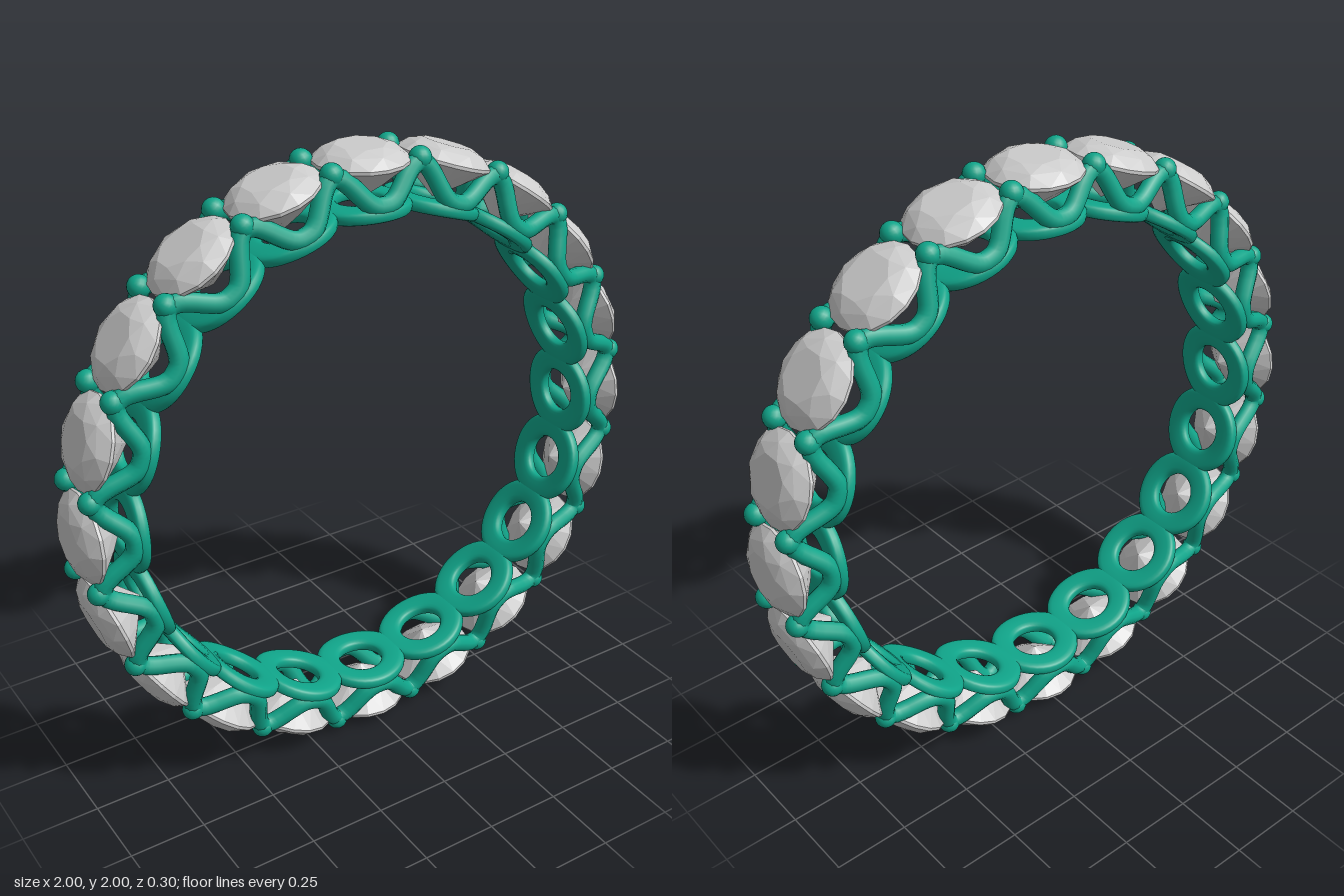
import * as THREE from 'three';
import { mergeVertices } from 'three/addons/utils/BufferGeometryUtils.js';
import { ConvexGeometry } from 'three/addons/geometries/ConvexGeometry.js';

const COUNT = 20;                       // stones around the ring
const STEP = (Math.PI * 2) / COUNT;
const INNER = 0.8;                      // finger hole radius

// Flat rounded washer, bent onto the finger hole; neighbours overlap into a scalloped band
function bandLinkGeometry() {
  const profile = [];
  const soft = v => Math.sign(v) * Math.abs(v) ** 0.65;
  for (let i = 0; i <= 20; i++) {
    const a = (i / 20) * Math.PI * 2;
    profile.push(new THREE.Vector2(0.11 + 0.039 * soft(Math.cos(a)), INNER + 0.022 + 0.022 * soft(Math.sin(a))));
  }
  let geo = new THREE.LatheGeometry(profile, 40);
  geo.deleteAttribute('normal');
  geo.deleteAttribute('uv');
  const p = geo.attributes.position;
  for (let i = 0; i < p.count; i++) {
    const t = p.getX(i) / INNER, r = p.getY(i);
    p.setXYZ(i, Math.sin(t) * r, Math.cos(t) * r, p.getZ(i));
  }
  geo = mergeVertices(geo, 1e-5);
  geo.computeVertexNormals();
  return geo;
}

// Brilliant-cut stone: rings of points [sides, radius, height, turn] wrapped in flat facets
function stoneGeometry() {
  const rings = [
    [8, 0.078, 1.0, 0.5],      // table
    [8, 0.116, 0.985, 0],      // crown
    [16, 0.146, 0.957, 0],     // girdle
    [16, 0.146, 0.947, 0],
    [8, 0.075, 0.888, 0.5],    // pavilion
  ];
  const pts = [new THREE.Vector3(0, 0.835, 0)];
  for (const [n, r, y, turn] of rings) {
    for (let i = 0; i < n; i++) {
      const a = ((i + turn) / n) * Math.PI * 2;
      pts.push(new THREE.Vector3(Math.cos(a) * r, y, Math.sin(a) * r));
    }
  }
  return new ConvexGeometry(pts);
}

// Wire that dips to the band under each stone and rises to a prong between stones
function prongWireGeometry(side) {
  const pts = [], per = 12;
  for (let i = 0; i < COUNT * per; i++) {
    const t = (i / per) * STEP;
    const rise = ((1 - Math.cos(t * COUNT)) / 2) ** 1.4;
    const r = 0.845 + 0.11 * rise;
    pts.push(new THREE.Vector3(Math.sin(t) * r, Math.cos(t) * r, side * (0.12 - 0.035 * rise)));
  }
  return new THREE.TubeGeometry(new THREE.CatmullRomCurve3(pts, true), COUNT * 24, 0.029, 10, true);
}

export function createModel() {
  const model = new THREE.Group();
  const metal = new THREE.MeshStandardMaterial({ color: 0x10a58a });
  const gem = new THREE.MeshStandardMaterial({ color: 0xcccccc, flatShading: true });

  const ring = new THREE.Group();
  ring.name = 'ring';
  ring.position.y = 1;
  model.add(ring);

  const add = (name, geo, mat, parent) => {
    const mesh = new THREE.Mesh(geo, mat);
    mesh.name = name;
    parent.add(mesh);
    return mesh;
  };

  const link = bandLinkGeometry();
  const stone = stoneGeometry();
  const bead = new THREE.SphereGeometry(0.035, 16, 12);

  for (let i = 0; i < COUNT; i++) {
    const station = new THREE.Group();
    station.name = 'setting';
    station.rotation.z = i * STEP;
    ring.add(station);
    add('bandLink', link, metal, station);
    add('stone', stone, gem, station);
    // Prong tips sit half a step round from the stone
    for (const side of [-1, 1]) {
      add('prongTip', bead, metal, station).position.set(
        Math.sin(STEP / 2) * 0.965, Math.cos(STEP / 2) * 0.965, side * 0.083);
    }
  }
  for (const side of [-1, 1]) add('prongWire', prongWireGeometry(side), metal, ring);

  return model;
}
